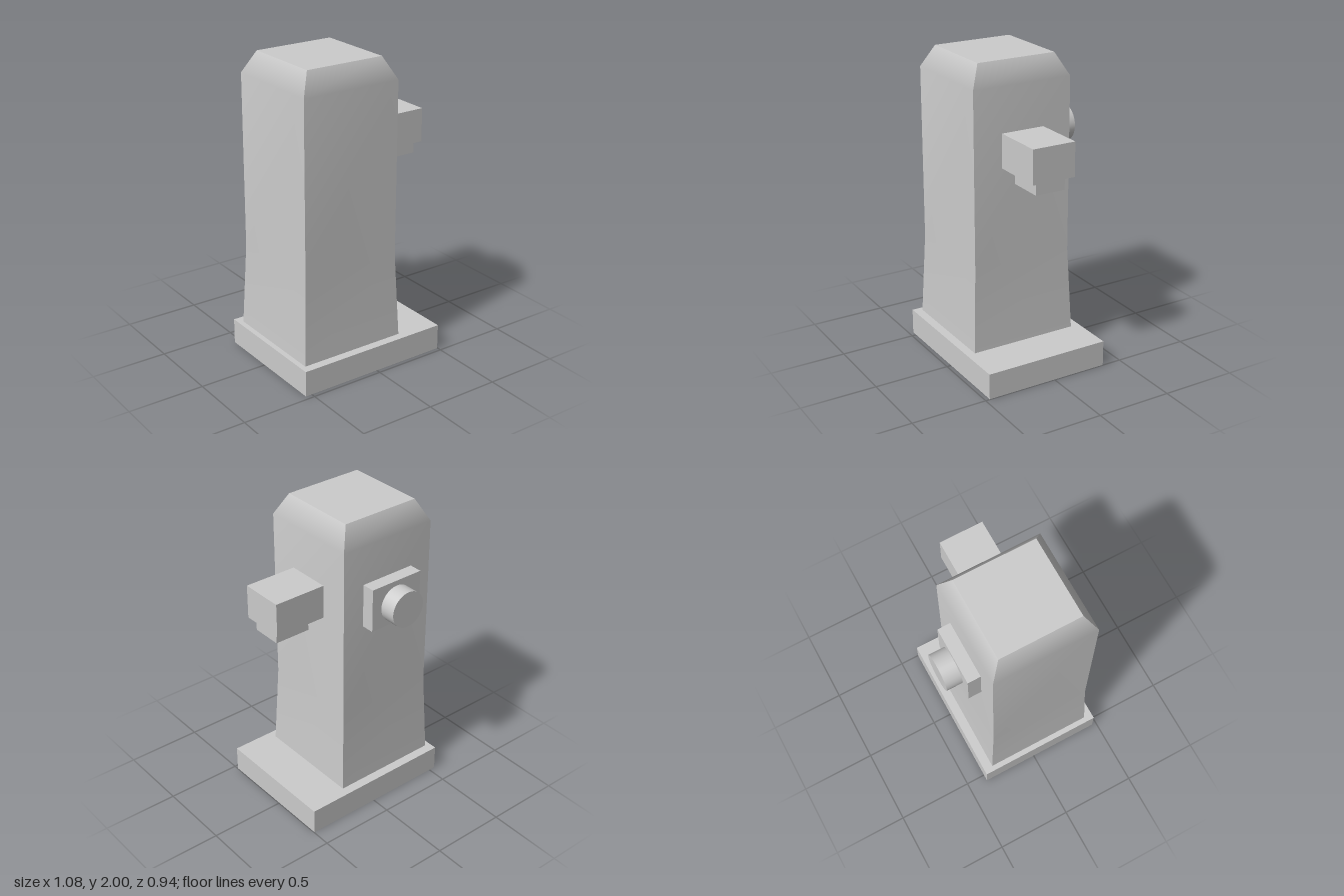
import * as THREE from 'three';

const material = new THREE.MeshStandardMaterial({ color: 0xcccccc });

function addMesh(group, name, geometry) {
  const mesh = new THREE.Mesh(geometry, material);
  mesh.name = name;
  group.add(mesh);
  return mesh;
}

// Box given by its extents along each axis
function addBlock(group, name, [x0, x1], [y0, y1], [z0, z1]) {
  const mesh = addMesh(group, name, new THREE.BoxGeometry(x1 - x0, y1 - y0, z1 - z0));
  mesh.position.set((x0 + x1) / 2, (y0 + y1) / 2, (z0 + z1) / 2);
}

// Flared column with a bevelled top: a segmented box whose rows follow a profile
function columnGeometry() {
  const rows = [ // height, half width
    [0.17, 0.361],
    [0.72, 0.337],
    [1.86, 0.337],
    [2.0, 0.266],
  ];
  const geometry = new THREE.BoxGeometry(2, 3, 2, 1, 3, 1);
  const p = geometry.attributes.position;
  for (let i = 0; i < p.count; i++) {
    const [y, half] = rows[Math.round(p.getY(i) + 1.5)];
    p.setXYZ(i, p.getX(i) * half, y, p.getZ(i) * half);
  }
  geometry.computeVertexNormals(); // smooth up each side, sharp at the corners
  return geometry;
}

export function createModel() {
  const model = new THREE.Group();
  model.name = 'pillar';

  addBlock(model, 'base', [-0.543, 0.497], [0, 0.17], [-0.37, 0.47]);

  const column = addMesh(model, 'column', columnGeometry());
  column.position.set(-0.147, 0, 0.052);

  // Side arm with a spout below it
  addBlock(model, 'arm', [0.17, 0.54], [1.35, 1.57], [-0.095, 0.195]);
  addBlock(model, 'spout', [0.27, 0.51], [1.27, 1.35], [-0.045, 0.155]);

  // Back plate with a round knob
  addBlock(model, 'backPlate', [-0.335, 0.04], [1.32, 1.605], [-0.37, -0.27]);
  const knob = addMesh(model, 'knob', new THREE.CylinderGeometry(0.119, 0.119, 0.105, 32));
  knob.rotation.x = Math.PI / 2;
  knob.position.set(-0.148, 1.453, -0.4225);

  return model;
}
